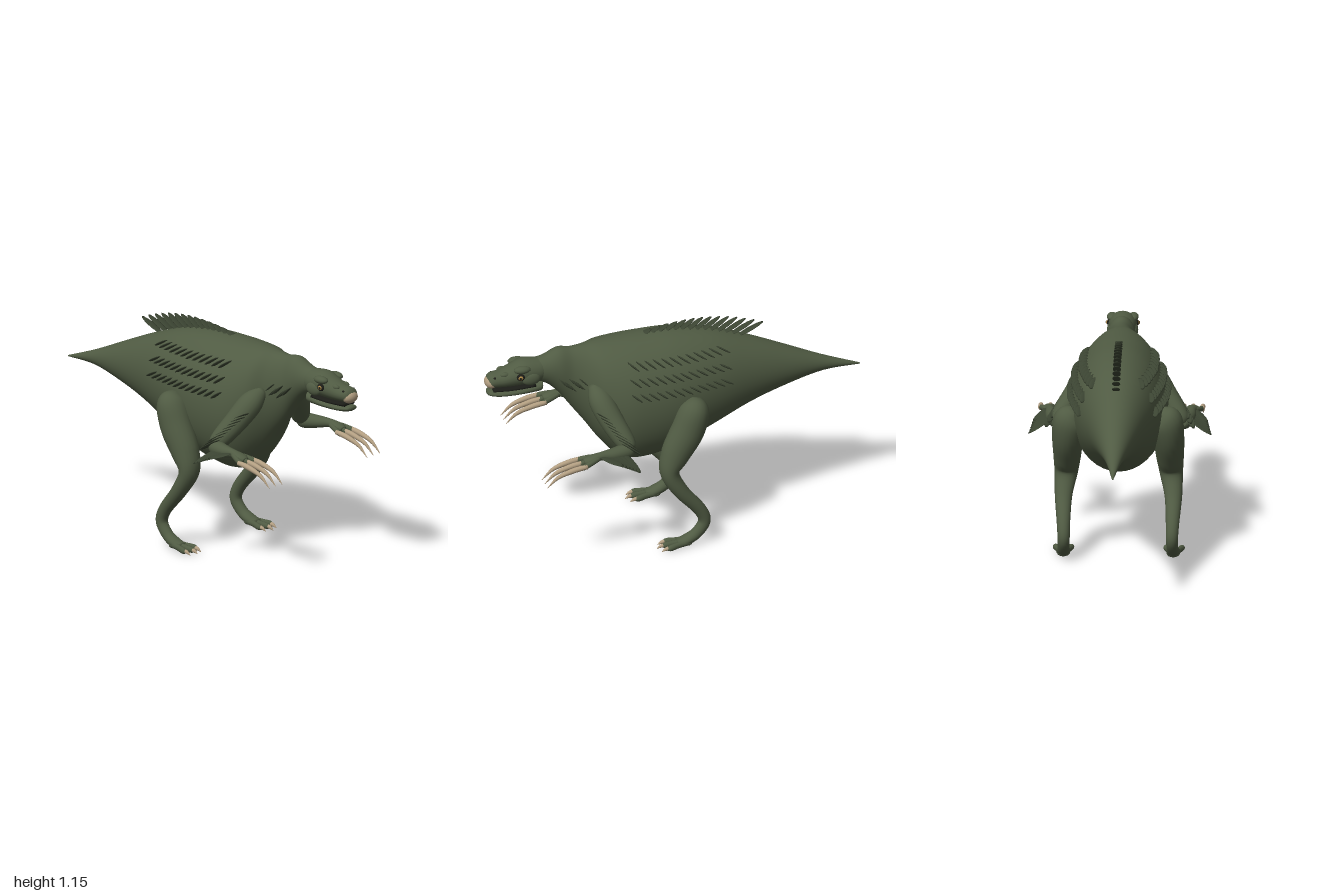
import * as THREE from 'three';

const mat = (name, color) => {
  const m = new THREE.MeshStandardMaterial({ color });
  m.name = name;
  return m;
};
const skin = mat('green skin', 0x505b43);
const plume = mat('dark plumage', 0x3b4432);
const horn = mat('tan horn', 0xb39f82);
const dark = mat('mouth and pupil black', 0x1c1d18);
const amber = mat('amber eye', 0xb08a4a);

const V = (x, y, z) => new THREE.Vector3(x, y, z);
const Z = V(0, 0, 1);

// Smooth skin through stations [x, y, z, halfZ, halfUp]; rings are planar across x when upright is true
function loft(name, stations, material, { steps = 6, sides = 20, upright = false } = {}) {
  const path = new THREE.CatmullRomCurve3(stations.map(s => V(s[0], s[1], s[2])), false, 'catmullrom', 0.5);
  const size = new THREE.CatmullRomCurve3(stations.map(s => V(s[3], s[4], 0)), false, 'catmullrom', 0.5);
  const n = (stations.length - 1) * steps;
  const pos = [], idx = [];
  for (let i = 0; i <= n; i++) {
    const c = path.getPoint(i / n), r = size.getPoint(i / n);
    const t = upright ? V(1, 0, 0) : path.getTangent(i / n);
    const s = Z.clone().addScaledVector(t, -t.z).normalize();
    const u = t.clone().cross(s);
    for (let j = 0; j < sides; j++) {
      const a = j / sides * Math.PI * 2;
      const p = c.clone().addScaledVector(s, Math.cos(a) * Math.max(r.x, 0.001))
        .addScaledVector(u, Math.sin(a) * Math.max(r.y, 0.001));
      pos.push(p.x, p.y, p.z);
      if (i < n) {
        const k = i * sides, j2 = (j + 1) % sides;
        idx.push(k + j, k + j2, k + sides + j, k + j2, k + sides + j2, k + sides + j);
      }
    }
  }
  // End caps
  const first = pos.length / 3;
  for (const s of [stations[0], stations[stations.length - 1]]) pos.push(s[0], s[1], s[2]);
  for (let j = 0; j < sides; j++) {
    const j2 = (j + 1) % sides;
    idx.push(first, j2, j, first + 1, n * sides + j, n * sides + j2);
  }
  const g = new THREE.BufferGeometry();
  g.setAttribute('position', new THREE.Float32BufferAttribute(pos, 3));
  g.setIndex(idx);
  g.computeVertexNormals();
  const mesh = new THREE.Mesh(g, material);
  mesh.name = name;
  return mesh;
}

// Upright profile [x, top, bottom, halfWidth] to loft stations
const profile = rows => rows.map(([x, t, b, w]) => [x, (t + b) / 2, 0, w, (t - b) / 2]);

const BODY = [
  [-1, 0.757, 0.751, 0.003], [-0.8, 0.832, 0.75, 0.042], [-0.6, 0.92, 0.705, 0.092], [-0.4, 1.005, 0.64, 0.145],
  [-0.2, 1.075, 0.55, 0.2], [0, 1.108, 0.46, 0.24], [0.18, 1.11, 0.42, 0.25], [0.3, 1.106, 0.445, 0.238],
  [0.4, 1.1, 0.55, 0.19], [0.47, 1.09, 0.65, 0.12], [0.54, 1.085, 0.745, 0.083], [0.61, 1.092, 0.84, 0.075],
  [0.68, 1.06, 0.905, 0.062], [0.76, 1.04, 0.93, 0.05],
];

// Half width of the body at a point on its flank
function bodyZ(x, y) {
  let i = 0;
  while (i < BODY.length - 2 && BODY[i + 1][0] < x) i++;
  const a = BODY[i], b = BODY[i + 1], f = (x - a[0]) / (b[0] - a[0]);
  const [t, bt, w] = [1, 2, 3].map(k => a[k] + (b[k] - a[k]) * f);
  const d = (y - (t + bt) / 2) / ((t - bt) / 2);
  return w * Math.sqrt(Math.max(0, 1 - d * d));
}

// Flat leaf-shaped feather from base to tip
const leafGeo = new THREE.SphereGeometry(0.5, 10, 8);
function feather(name, base, tip, widthAxis, width, thick = 0.008, material = plume) {
  const m = new THREE.Mesh(leafGeo, material);
  const d = tip.clone().sub(base), x = d.clone().normalize();
  const y = widthAxis.clone().addScaledVector(x, -widthAxis.dot(x)).normalize();
  m.quaternion.setFromRotationMatrix(new THREE.Matrix4().makeBasis(x, y, x.clone().cross(y)));
  m.position.copy(base).addScaledVector(d, 0.5);
  m.scale.set(d.length(), width, thick);
  m.name = name;
  return m;
}

function ball(name, x, y, z, rx, ry, rz, material) {
  const m = new THREE.Mesh(new THREE.SphereGeometry(1, 16, 12), material);
  m.position.set(x, y, z);
  m.scale.set(rx, ry, rz);
  m.name = name;
  return m;
}

function head() {
  const g = new THREE.Group();
  g.name = 'head';
  g.add(
    loft('skull', profile([[0.66, 1.04, 0.94, 0.045], [0.72, 1.05, 0.92, 0.064], [0.8, 1.055, 0.917, 0.073],
      [0.86, 1.03, 0.915, 0.066], [0.92, 1.005, 0.917, 0.056], [0.97, 0.995, 0.922, 0.048],
      [0.992, 0.97, 0.935, 0.022]]), skin, { upright: true }),
    loft('lowerJaw', profile([[0.7, 0.94, 0.872, 0.045], [0.72, 0.93, 0.868, 0.054], [0.82, 0.912, 0.867, 0.06],
      [0.92, 0.907, 0.868, 0.054], [0.975, 0.905, 0.876, 0.038], [0.988, 0.897, 0.885, 0.015]]), skin, { upright: true }),
    loft('mouth', profile([[0.74, 0.93, 0.9, 0.055], [0.86, 0.925, 0.895, 0.054], [0.96, 0.925, 0.895, 0.04]]),
      dark, { upright: true }),
    ball('beak', 0.966, 0.95, 0, 0.034, 0.034, 0.047, horn));
  for (const s of [1, -1]) {
    g.add(
      ball('brow', 0.815, 1.02, s * 0.055, 0.045, 0.02, 0.026, skin),
      ball('cheek', 0.77, 0.965, s * 0.06, 0.05, 0.035, 0.02, skin),
      ball('snoutBump', 0.9, 0.995, s * 0.036, 0.025, 0.014, 0.014, skin),
      ball('eyeRim', 0.826, 0.985, s * 0.066, 0.022, 0.02, 0.016, dark),
      ball('eye', 0.828, 0.985, s * 0.073, 0.014, 0.013, 0.013, amber),
      ball('pupil', 0.831, 0.985, s * 0.083, 0.006, 0.007, 0.005, dark),
      ball('nostril', 0.955, 0.982, s * 0.036, 0.009, 0.006, 0.008, dark));
  }
  return g;
}

function leg(s) {
  const g = new THREE.Group();
  g.name = s > 0 ? 'leftLeg' : 'rightLeg';
  g.add(loft('thighAndShin', [[-0.06, 0.81, s * 0.215, 0.03, 0.03], [-0.045, 0.76, s * 0.24, 0.085, 0.078],
    [-0.005, 0.65, s * 0.257, 0.08, 0.088], [0.06, 0.53, s * 0.262, 0.071, 0.077], [0.095, 0.43, s * 0.268, 0.06, 0.05],
    [0.04, 0.32, s * 0.28, 0.045, 0.04], [-0.06, 0.2, s * 0.278, 0.034, 0.034], [-0.088, 0.125, s * 0.276, 0.031, 0.032],
    [-0.045, 0.062, s * 0.278, 0.03, 0.03], [0.01, 0.033, s * 0.28, 0.036, 0.026], [0.06, 0.022, s * 0.281, 0.03, 0.018]], skin));
  g.add(ball('heel', 0.005, 0.024, s * 0.28, 0.028, 0.022, 0.035, skin));
  for (const k of [-1, 0, 1]) {
    const z = s * 0.282 + k * 0.04, reach = k === 0 ? 0.015 : 0;
    g.add(
      loft('toe', [[0, 0.026, s * 0.28 + k * 0.015, 0.018, 0.018], [0.06, 0.022, z * 0.7 + s * 0.084, 0.014, 0.016],
        [0.105 + reach, 0.018, z, 0.015, 0.016], [0.125 + reach, 0.015, z, 0.007, 0.008]], skin, { steps: 4, sides: 12 }),
      loft('toeClaw', [[0.105 + reach, 0.019, z, 0.011, 0.012], [0.13 + reach, 0.016, z, 0.009, 0.009],
        [0.152 + reach, 0.004, z, 0.001, 0.001]], horn, { steps: 4, sides: 10 }));
  }
  return g;
}

function arm(s) {
  const g = new THREE.Group();
  g.name = s > 0 ? 'leftArm' : 'rightArm';
  g.add(
    loft('upperArm', [[0.45, 0.9, s * 0.1, 0.03, 0.03], [0.43, 0.84, s * 0.165, 0.06, 0.062], [0.385, 0.74, s * 0.24, 0.055, 0.06],
      [0.335, 0.65, s * 0.305, 0.046, 0.048], [0.32, 0.615, s * 0.325, 0.025, 0.025]], skin),
    loft('forearm', [[0.31, 0.625, s * 0.315, 0.025, 0.022], [0.34, 0.62, s * 0.327, 0.04, 0.04], [0.42, 0.623, s * 0.35, 0.034, 0.032],
      [0.49, 0.628, s * 0.362, 0.022, 0.022], [0.55, 0.618, s * 0.365, 0.034, 0.02], [0.58, 0.61, s * 0.365, 0.02, 0.014]], skin));
  // Three fingers with long sickle claws
  for (const k of [-1, 0, 1]) {
    const z = s * 0.365 + k * 0.048;
    g.add(
      loft('finger', [[0.5, 0.625, s * 0.363 + k * 0.01, 0.014, 0.014], [0.55, 0.615, s * 0.365 + k * 0.034, 0.013, 0.014],
        [0.6, 0.602, z, 0.013, 0.014]], skin, { steps: 4, sides: 12 }),
      loft('handClaw', [[0.575, 0.607, z, 0.012, 0.013], [0.65, 0.595, z, 0.013, 0.014], [0.73, 0.568, z, 0.009, 0.01],
        [0.79, 0.515, z, 0.001, 0.001]], horn, { steps: 5, sides: 12 }));
  }
  for (let i = 0; i < 8; i++) {
    const f = i / 7;
    const a = V(0.475 - 0.1 * f, 0.81 - 0.14 * f, s * (0.23 + 0.1 * f));
    g.add(feather('upperArmFeather', a, a.clone().add(V(-0.105, -0.065, s * 0.05)), V(0, 0.5, s), 0.035));
  }
  for (let i = 0; i < 6; i++) {
    const f = i / 5;
    const a = V(0.37 + 0.13 * f, 0.625 + 0.01 * f, s * (0.35 + 0.025 * f));
    g.add(feather('forearmFeather', a, a.clone().add(V(-0.06 - 0.05 * f, -0.068 + 0.03 * f, s * (0.118 - 0.05 * f))),
      V(1, 0, s * 0.5), 0.042));
  }
  return g;
}

// Feather rows along the flank, the neck and the shoulder fold
function flank(s) {
  const g = new THREE.Group();
  g.name = s > 0 ? 'leftPlumage' : 'rightPlumage';
  for (const y of [1.02, 0.945, 0.87]) {
    for (let i = 0; i < 12; i++) {
      const x = 0.285 - i * 0.044, len = 0.85 + 0.025 * i;
      const a = V(x, y + 0.012, s * bodyZ(x, y + 0.012));
      const tx = x - 0.062 * len, ty = y - 0.026;
      g.add(feather('flankFeather', a, V(tx, ty, s * (bodyZ(tx, ty) + 0.018)), V(0, 0.35, s), 0.034, 0.01));
    }
  }
  for (let i = 0; i < 7; i++) {
    const x = 0.625 - 0.017 * i, y = 0.945 - 0.01 * (i % 3);
    g.add(feather('neckFeather', V(x, y, s * bodyZ(x, y)),
      V(x - 0.055, y - 0.055, s * (bodyZ(x, y) + 0.015)), V(0, 0.2, s), 0.026));
  }
  g.add(feather('shoulderFold', V(0.355, 0.95, s * (bodyZ(0.355, 0.95) - 0.004)),
    V(0.235, 0.66, s * (bodyZ(0.235, 0.66) - 0.004)), V(0, 0, 1), 0.03, 0.01, skin));
  return g;
}

// Crest of feathers on the spine, longest toward the tail
function crest() {
  const g = new THREE.Group();
  g.name = 'spineCrest';
  for (let i = 0; i < 14; i++) {
    const f = i / 13, x = 0.17 - 0.51 * f;
    const y = 1.108 - 0.09 * f * f;
    const tip = V(x - 0.06 - 0.085 * f, y + 0.014 + 0.052 * Math.sin(f * 2.2), 0);
    g.add(feather('crestFeather', V(x, y - 0.01, 0), tip, Z, 0.042, 0.011));
  }
  return g;
}

export function createModel() {
  const model = new THREE.Group();
  model.name = 'featheredDinosaur';
  model.add(loft('bodyTailAndNeck', profile(BODY), skin, { upright: true, sides: 40 }), head(), crest());
  for (const s of [1, -1]) model.add(leg(s), arm(s), flank(s));
  return model;
}
